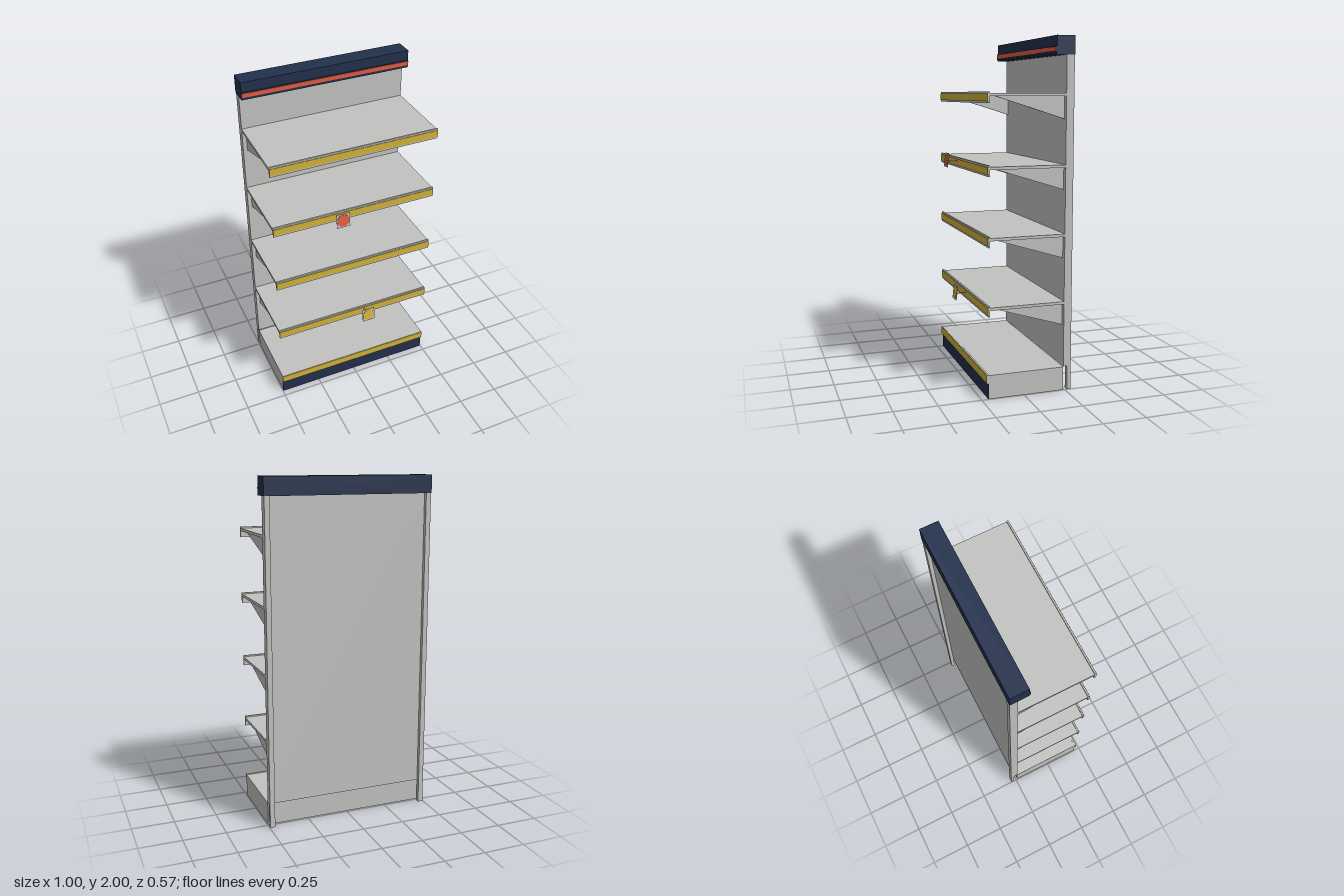
import * as THREE from 'three';

const paint = (name, hex) => {
  const m = new THREE.MeshStandardMaterial({ color: hex });
  m.name = name;
  return m;
};

export function createModel() {
  const grey = paint('light grey metal', 0xc2c2c0);
  const navy = paint('navy', 0x22304c);
  const yellow = paint('yellow', 0xd0b23a);
  const red = paint('red', 0xe05a42);

  const model = new THREE.Group();
  model.name = 'storeShelf';

  const add = (parent, name, geometry, material) => {
    const mesh = new THREE.Mesh(geometry, material);
    mesh.name = name;
    parent.add(mesh);
    return mesh;
  };
  // Box given by its lower and upper limits on each axis
  const box = (parent, name, material, [x0, x1], [y0, y1], [z0, z1]) => {
    const mesh = add(parent, name, new THREE.BoxGeometry(x1 - x0, y1 - y0, z1 - z0), material);
    mesh.position.set((x0 + x1) / 2, (y0 + y1) / 2, (z0 + z1) / 2);
    return mesh;
  };
  const wide = [-0.497, 0.497];

  // Back panel and rear posts
  box(model, 'backPanel', grey, wide, [0.14, 1.9], [-0.264, -0.24]);
  for (const s of [-1, 1]) {
    box(model, 'rearPost', grey, [s * 0.482 - 0.015, s * 0.482 + 0.015], [0, 1.9], [-0.286, -0.264]);
  }

  // Header with its red strip
  box(model, 'header', navy, [-0.5, 0.5], [1.897, 2], [-0.287, -0.18]);
  box(model, 'headerRail', navy, [-0.5, 0.5], [1.905, 1.942], [-0.18, -0.175]);
  box(model, 'headerStrip', red, [-0.499, 0.499], [1.914, 1.938], [-0.175, -0.172]);

  // Base deck, kick plate and price rail
  box(model, 'base', grey, wide, [0, 0.137], [-0.24, 0.207]);
  box(model, 'kickPlate', navy, wide, [0, 0.09], [0.207, 0.211]);
  box(model, 'baseRail', grey, wide, [0.09, 0.14], [0.207, 0.218]);
  box(model, 'baseLabelStrip', yellow, wide, [0.091, 0.137], [0.218, 0.221]);

  // Triangular bracket profile, drawn in z and y below the shelf top
  const profile = new THREE.Shape([
    new THREE.Vector2(-0.238, -0.14),
    new THREE.Vector2(0.165, -0.015),
    new THREE.Vector2(-0.238, -0.015),
  ]);
  const bracketShape = new THREE.ExtrudeGeometry(profile, { depth: 0.012, bevelEnabled: false });
  bracketShape.translate(0, 0, -0.006).rotateY(-Math.PI / 2);

  const makeShelf = (top) => {
    const shelf = new THREE.Group();
    shelf.name = 'shelf';
    shelf.position.y = top;
    box(shelf, 'shelfBoard', grey, wide, [-0.016, 0], [-0.24, 0.2]);
    box(shelf, 'priceRail', grey, wide, [-0.053, 0.008], [0.2, 0.21]);
    box(shelf, 'labelStrip', yellow, wide, [-0.043, -0.002], [0.21, 0.213]);
    for (const s of [-1, 1]) {
      add(shelf, 'bracket', bracketShape, grey).position.x = s * 0.468;
    }
    model.add(shelf);
  };
  [0.522, 0.91, 1.298, 1.69].forEach(makeShelf);

  // Small tilted sign on an arm in front of a shelf
  const makeSign = (x, y, material) => {
    const sign = new THREE.Group();
    sign.name = 'shelfSign';
    sign.position.set(x, y, 0);
    box(sign, 'signArm', grey, [-0.004, 0.004], [-0.009, -0.005], [0.21, 0.278]);
    const card = new THREE.Group();
    card.name = 'signCard';
    card.position.z = 0.278;
    card.rotation.x = -0.14;
    box(card, 'cardPlate', grey, [-0.04, 0.04], [-0.042, 0.042], [-0.0015, 0.0015]);
    const disc = add(card, 'cardDisc', new THREE.CylinderGeometry(0.037, 0.037, 0.002, 24), material);
    disc.rotation.x = Math.PI / 2;
    disc.position.z = 0.0025;
    sign.add(card);
    model.add(sign);
  };
  makeSign(-0.108, 1.292, red);
  makeSign(0.065, 0.515, yellow);

  return model;
}
